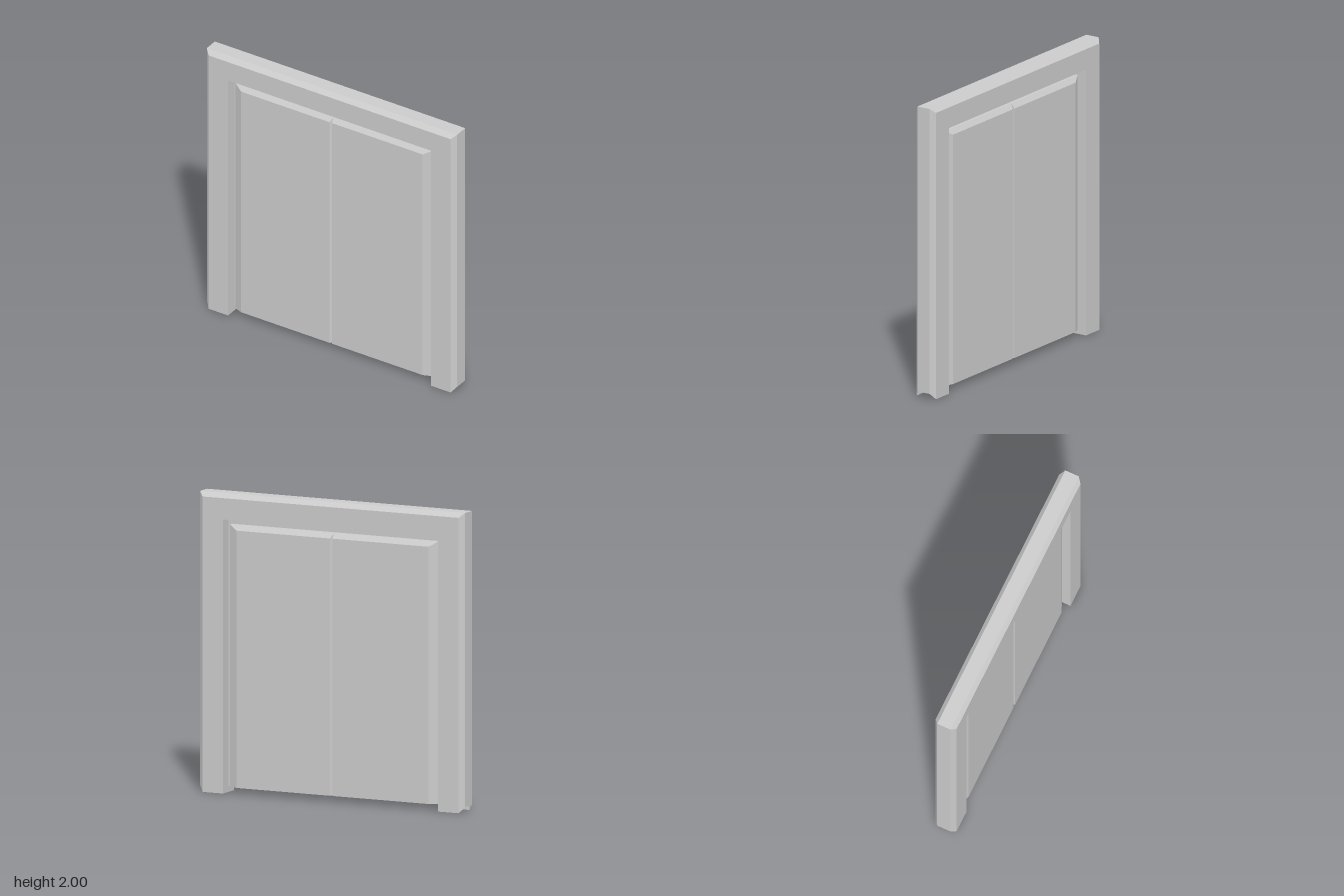
import * as THREE from 'three';

const metal = new THREE.MeshStandardMaterial({ color: 0xcccccc, side: THREE.DoubleSide, flatShading: true });
metal.name = 'plain grey';

// Shell through sections [z, outline], back to front, outlines counter-clockwise;
// skip(edge, span) leaves a wall out.
function shell(name, sections, skip) {
  const pos = [];
  const tri = (...pts) => pts.forEach(p => pos.push(...p));
  const rings = sections.map(([z, pts]) => pts.map(([x, y]) => [x, y, z]));
  const n = rings[0].length;
  for (let s = 0; s < rings.length - 1; s++) {
    for (let i = 0; i < n; i++) {
      if (skip(i, s)) continue;
      const j = (i + 1) % n;
      const [a, b, c, d] = [rings[s][i], rings[s][j], rings[s + 1][j], rings[s + 1][i]];
      tri(a, b, c);
      tri(a, c, d);
    }
  }
  const cap = (ring, flip) => {
    const faces = THREE.ShapeUtils.triangulateShape(ring.map(p => new THREE.Vector2(p[0], p[1])), []);
    for (const [a, b, c] of faces) flip ? tri(ring[a], ring[c], ring[b]) : tri(ring[a], ring[b], ring[c]);
  };
  cap(rings[0], true);
  cap(rings[rings.length - 1], false);
  const geo = new THREE.BufferGeometry();
  geo.setAttribute('position', new THREE.Float32BufferAttribute(pos, 3));
  geo.computeVertexNormals();
  const mesh = new THREE.Mesh(geo, metal);
  mesh.name = name;
  return mesh;
}

export function createModel() {
  const model = new THREE.Group();
  model.name = 'doubleDoor';
  const openX = 0.797, openY = 1.827;

  // Chamfered surround, open underneath the legs
  const surround = (x, bottom, top) => [
    [openX, 0], [x, bottom], [x, top], [-x, top],
    [-x, bottom], [-openX, 0], [-openX, openY], [openX, openY],
  ];
  const face = surround(0.949, 0, 1.969), rim = surround(0.982, 0.04, 2);
  model.add(shell('doorFrame',
    [[-0.077, face], [-0.049, rim], [0.049, rim], [0.077, face]],
    i => i === 0 || i === 4));

  // Hollow leaves: bevelled on the outer side, top and one face of the seam
  const panel = (outer, inner, top) => [[-outer, 0.04], [inner, 0.04], [inner, top], [-outer, top]];
  for (const side of ['right', 'left']) {
    const leaf = shell(side + 'DoorLeaf', [
      [-0.05, panel(0.713, 0, 1.755)],
      [-0.027, panel(0.77, 0, 1.79)],
      [0.027, panel(0.77, 0, 1.79)],
      [0.05, panel(0.713, -0.018, 1.755)],
    ], (i, s) => i === 0 || (i === 1 && s === 1));
    if (side === 'left') leaf.rotation.y = Math.PI;
    model.add(leaf);
  }

  // Thin flange closing the gap to the frame, notched above the seam
  const flange = new THREE.Shape([
    [-openX, 0.04], [-0.77, 0.04], [-0.77, 1.79], [0.77, 1.79], [0.77, 0.04], [openX, 0.04],
    [openX, openY], [0.018, openY], [0, 1.81], [-0.018, openY], [-openX, openY],
  ].map(p => new THREE.Vector2(...p)));
  const flangeMesh = new THREE.Mesh(new THREE.ShapeGeometry(flange), metal);
  flangeMesh.name = 'doorFlange';
  model.add(flangeMesh);
  return model;
}
